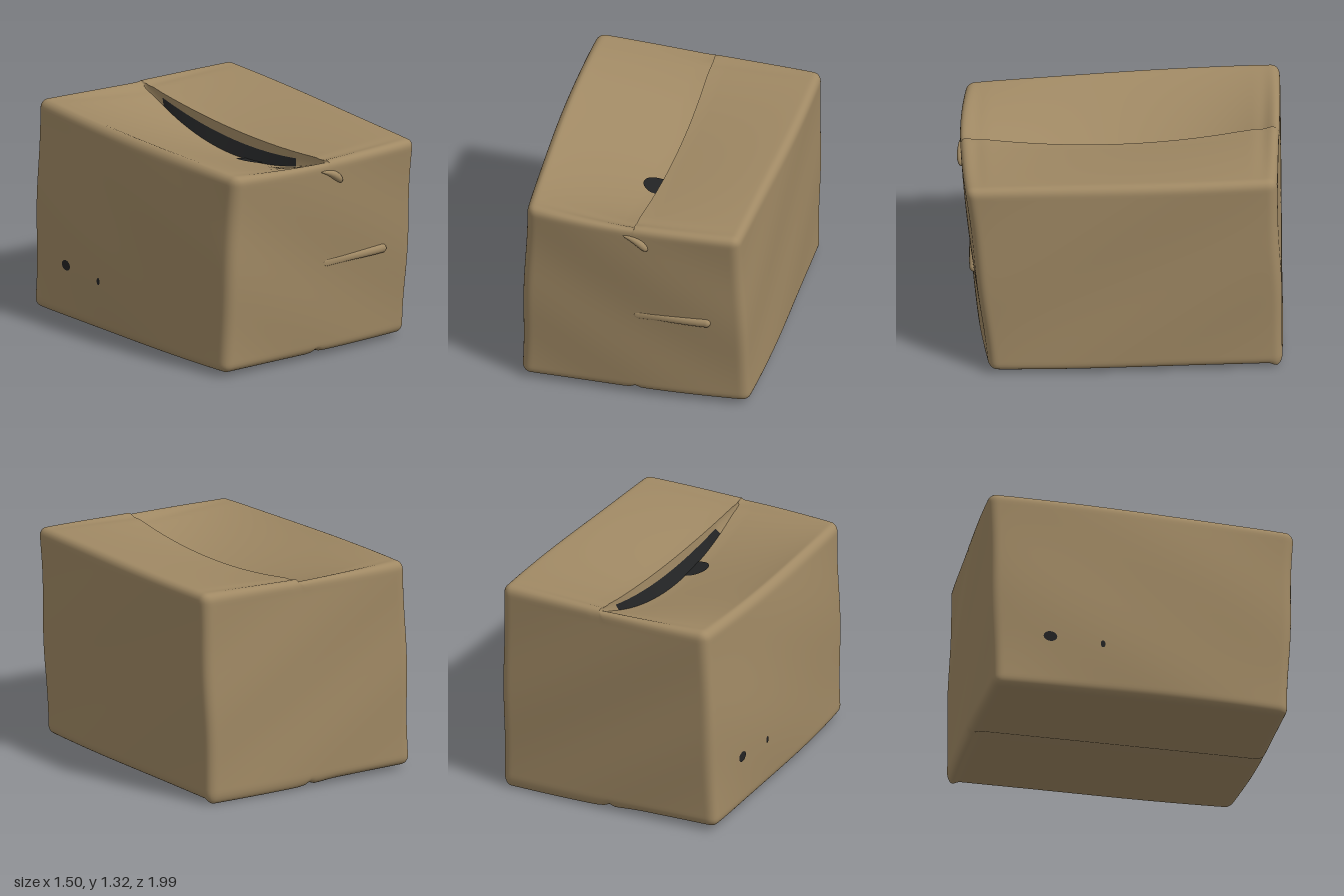
import * as THREE from 'three';
import { mergeVertices } from 'three/addons/utils/BufferGeometryUtils.js';

const cardboard = new THREE.MeshStandardMaterial({ color: 0xa08964 });
cardboard.name = 'cardboard';
const darkInside = new THREE.MeshStandardMaterial({ color: 0x222324 });
darkInside.name = 'dark inside';

const half = new THREE.Vector3(0.72, 0.63, 0.96);
const EDGE = 0.055;
const SEAM = 0.06; // the grid columns inside this width form the step between the top flaps

// Battered box corners, indexed by [top][front][+x]
const corners = [
  [[[-0.715, 0.03, -0.98], [0.72, 0.02, -0.93]], [[-0.705, 0.03, 0.85], [0.695, 0.025, 0.84]]],
  [[[-0.665, 1.325, -0.995], [0.745, 1.32, -0.885]], [[-0.665, 1.265, 0.89], [0.66, 1.28, 0.98]]],
];

const smooth = (v, a, b) => THREE.MathUtils.smoothstep(v, a, b);
const clamp = THREE.MathUtils.clamp;

// Maps a point of the cube [-1, 1]^3 onto the crumpled box
function warp(u) {
  // Round the edges
  const p = u.clone().multiply(half);
  const inner = p.clone();
  for (const a of ['x', 'y', 'z']) inner[a] = clamp(p[a], -half[a] + EDGE, half[a] - EDGE);
  const t = inner.clone().add(p.sub(inner).setLength(EDGE)).divide(half);

  // Blend the eight corners
  const out = new THREE.Vector3();
  for (let i = 0; i < 8; i++) {
    const iy = i >> 2, iz = (i >> 1) & 1, ix = i & 1;
    const w = (1 + (iy ? t.y : -t.y)) * (1 + (iz ? t.z : -t.z)) * (1 + (ix ? t.x : -t.x)) / 8;
    const c = corners[iy][iz][ix];
    out.x += c[0] * w; out.y += c[1] * w; out.z += c[2] * w;
  }

  // Bulging walls
  const bx = 1 - t.x * t.x, by = 1 - t.y * t.y, bz = Math.max(0, 1 - t.z * t.z);
  out.x += t.x * (t.x < 0 ? 0.028 * Math.sqrt(bz) + 0.025 * by * bz : 0.018 * Math.sqrt(bz));
  out.z += t.z * (t.z > 0 ? (0.03 + 0.012 * t.y) * bx : 0.012 * bx + 0.005 * by);

  // Soft dents
  out.x += 0.004 * t.x * Math.sin(out.y * 7 + out.z * 4);
  out.z += 0.004 * t.z * Math.sin(out.y * 8 + out.x * 5);

  // Seam position and opening width, on the top only
  const top = smooth(t.y, 0.85, 1), bottom = smooth(-t.y, 0.9, 1);
  const middle = Math.abs(u.x) < 0.01;
  out.x += top * (0.024 - 0.012 * t.z) * (1 - Math.abs(t.x));
  const open = Math.max(0.1, 0.85 * (1 - Math.pow(t.z - 0.05, 2)) - 0.22);
  if (middle) out.x += top * 0.026 * open;
  else if (Math.abs(u.x) < SEAM) out.x += top * t.x * half.x * (open - 1);

  // Sagging top flaps, the -x one sunk lower, the +x one ending in a folded lip
  const end = 1 - Math.pow(Math.abs(t.z), 8);
  const reach = Math.max(0, 1 - Math.abs(t.x) / 0.95);
  const low = Math.pow(reach, 0.9) * (0.215 * bz + 0.012 * end);
  const high = Math.pow(reach, 1.3) * 0.085 * bz;
  out.y -= top * (middle ? high + 0.4 * (low - high) : t.x < 0 ? low : high);
  out.y -= top * 0.008 * bx * Math.exp(-Math.pow((Math.abs(t.z) - 0.9) / 0.04, 2));

  // Step and groove where the bottom flaps meet, and a lip hanging at the back
  out.y += bottom * (0.018 * Math.exp(-Math.pow(t.x / 0.035, 2)) + (t.x > 0 ? 0.014 * end * (1 - t.x) : 0));
  out.y -= bottom * 0.02 * smooth(-t.z, 0.9, 0.97) * smooth(t.x, -0.3, 0.2);
  return out;
}

// Box skin, split into the closed surface, the flap's lip and the open gap below it
function boxParts() {
  let geo = new THREE.BoxGeometry(2, 2, 2, 60, 50, 70);
  geo.deleteAttribute('normal');
  geo.deleteAttribute('uv');
  geo.clearGroups();
  geo = mergeVertices(geo, 1e-4);
  const pos = geo.attributes.position;
  const denser = v => Math.sign(v) * (1 - Math.pow(1 - Math.min(1, Math.abs(v)), 1.5));
  const cube = [];
  for (let i = 0; i < pos.count; i++) {
    const u = new THREE.Vector3(denser(pos.getX(i)), denser(pos.getY(i)), denser(pos.getZ(i)));
    cube.push(u);
    const p = warp(u);
    pos.setXYZ(i, p.x, p.y, p.z);
  }
  const lists = { skin: [], lip: [], gap: [] };
  const index = geo.index.array;
  for (let i = 0; i < index.length; i += 3) {
    const tri = [index[i], index[i + 1], index[i + 2]];
    const inSeam = tri.every(k => cube[k].y > 0.999 && Math.abs(cube[k].x) < SEAM && Math.abs(cube[k].z) < 0.93);
    const lower = tri.some(k => cube[k].x < -0.01);
    const z = cube[tri[0]].z;
    lists[!inSeam ? 'skin' : lower && z > -0.74 && z < 0.64 ? 'gap' : 'lip'].push(...tri);
  }
  const parts = {};
  for (const name in lists) {
    const g = geo.clone();
    g.setIndex(lists[name]);
    g.computeVertexNormals();
    parts[name] = g.toNonIndexed();
  }
  return parts;
}

// Dark disc laid on the box by mapping it through the warp
function tear(face, a, b, ra, rb) {
  const geo = new THREE.CircleGeometry(1, 24);
  const pos = geo.attributes.position;
  for (let i = 0; i < pos.count; i++) {
    const x = pos.getX(i), y = pos.getY(i);
    const u = face === 'top'
      ? new THREE.Vector3(Math.min(a + x * ra, -0.05), 1, b - y * rb)
      : new THREE.Vector3(-1, a + y * ra, b + x * rb);
    const p = warp(u);
    if (face === 'top') p.y += 0.006; else p.x -= 0.004;
    pos.setXYZ(i, p.x, p.y, p.z);
  }
  geo.computeVertexNormals();
  return geo;
}

export function createModel() {
  const group = new THREE.Group();
  group.name = 'cardboardBox';
  const add = (name, geo, mat) => {
    const mesh = new THREE.Mesh(geo, mat);
    mesh.name = name;
    group.add(mesh);
    return mesh;
  };

  // Crumpled box with its top opening
  const { skin, lip, gap } = boxParts();
  add('boxWalls', skin, cardboard);
  add('flapLip', lip, cardboard);
  add('openSeam', gap, darkInside);

  // Torn holes
  add('topTear', tear('top', -0.055, 0.25, 0.125, 0.095), darkInside);
  add('sideTearLarge', tear('side', -0.47, -0.62, 0.05, 0.045), darkInside);
  add('sideTearSmall', tear('side', -0.5, -0.27, 0.035, 0.016), darkInside);

  // Raised crease across the front, fading towards the middle
  const crease = new THREE.CapsuleGeometry(0.027, 0.42, 6, 14, 10);
  const cp = crease.attributes.position;
  for (let i = 0; i < cp.count; i++) {
    const s = smooth(cp.getY(i), -0.25, 0.2);
    cp.setXYZ(i, cp.getX(i) * (0.7 + 0.3 * s), cp.getY(i), cp.getZ(i) * (0.1 + 0.7 * s));
  }
  crease.computeVertexNormals();
  const creaseMesh = add('frontCrease', crease, cardboard);
  const creaseRight = warp(new THREE.Vector3(0.6, -0.04, 1));
  const creaseLeft = warp(new THREE.Vector3(0.06, -0.04, 1));
  creaseMesh.position.set(0.24, 0.615, (creaseLeft.z + creaseRight.z) / 2 + 0.001);
  creaseMesh.rotation.set(0, Math.atan2(creaseLeft.z - creaseRight.z, creaseRight.x - creaseLeft.x), -Math.PI / 2 + 0.03);

  // Small peeled curl near the top of the front, thin at its upper end
  const curlGeo = new THREE.SphereGeometry(1, 20, 12);
  const kp = curlGeo.attributes.position;
  for (let i = 0; i < kp.count; i++) {
    const x = kp.getX(i), s = 0.65 + 0.35 * x;
    kp.setXYZ(i, x, kp.getY(i) * s + 0.5 * (1 - x * x) - 0.3, kp.getZ(i) * s);
  }
  curlGeo.computeVertexNormals();
  const curl = add('frontCurl', curlGeo, cardboard);
  const curlAt = warp(new THREE.Vector3(0.04, 0.86, 1));
  curl.scale.set(0.09, 0.035, 0.035);
  curl.position.set(0.025, 1.175, curlAt.z);
  curl.rotation.z = -0.5;

  return group;
}
